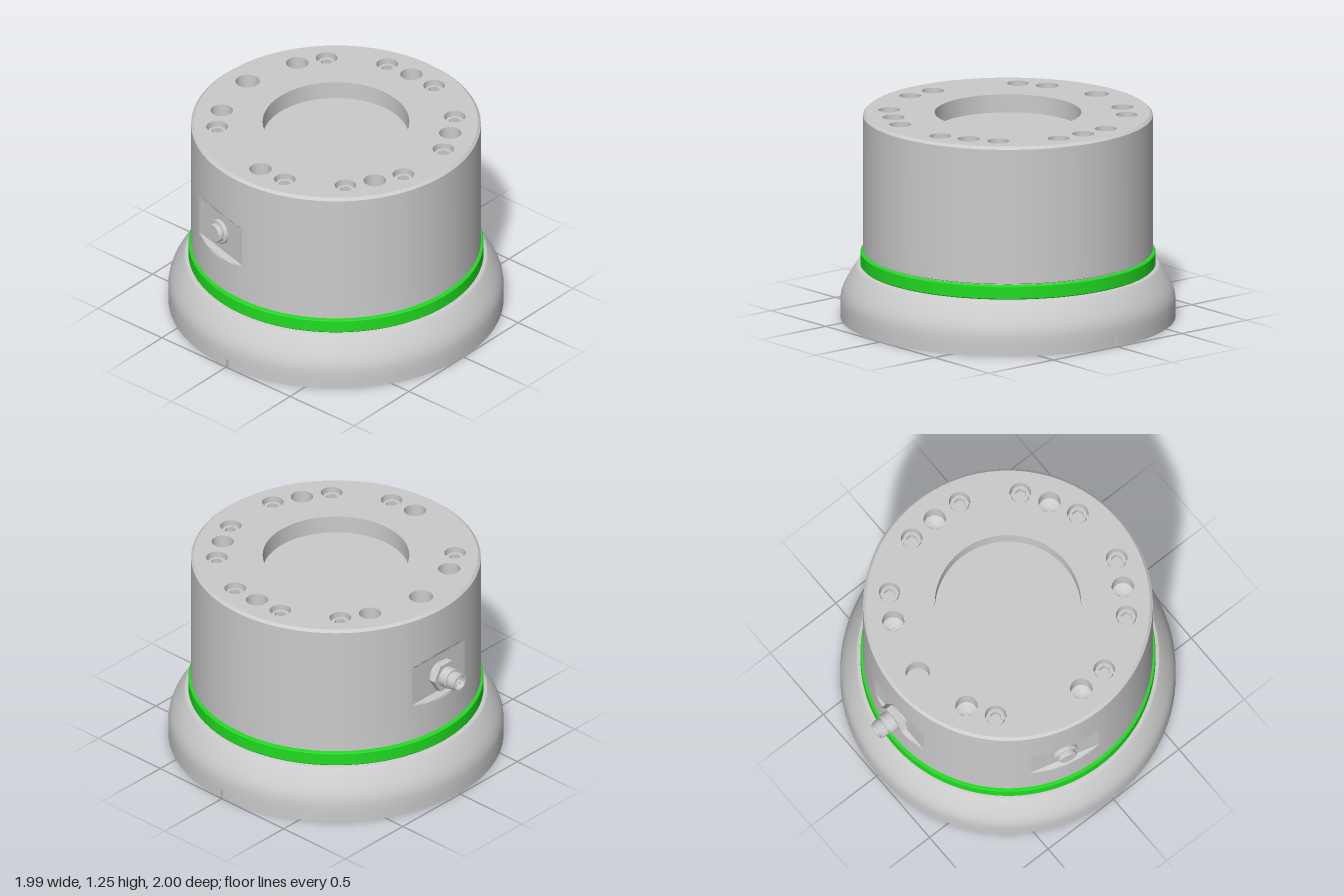
import * as THREE from 'three';
import { toCreasedNormals } from 'three/addons/utils/BufferGeometryUtils.js';

const grey = new THREE.MeshStandardMaterial({ color: 0xcccccc, side: THREE.DoubleSide });
const green = new THREE.MeshStandardMaterial({ color: 0x22dd22, side: THREE.DoubleSide });
const TOP = 1.245, R = 0.86, PORT_Y = 0.775;
const PORT_ANGLES = [0, THREE.MathUtils.degToRad(75)]; // measured from the back towards -x

function add(parent, name, geometry, material = grey, crease = 0.4) {
  const mesh = new THREE.Mesh(toCreasedNormals(geometry, crease), material);
  mesh.name = name;
  parent.add(mesh);
  return mesh;
}

const lathe = (points, segments = 128) =>
  new THREE.LatheGeometry(points.map(([r, y]) => new THREE.Vector2(r, y)), segments);

// Points of a circle or regular polygon
function ring(x, y, r, n) {
  return Array.from({ length: n }, (_, i) => {
    const a = (i / n) * Math.PI * 2;
    return new THREE.Vector2(x + r * Math.cos(a), y + r * Math.sin(a));
  });
}

// Cylinder wall with a shallow flat milled around each side port
function bodyWall() {
  const ys = [0.41];
  for (let y = 0.6; y < 0.955; y += 0.0125) ys.push(y);
  ys.push(1.23);
  const geo = lathe([[0.85, 0.395], [0.85, 0.405], ...ys.map(y => [R, y]), [0.843, TOP]], 256);
  const p = geo.attributes.position;
  for (let i = 0; i < p.count; i++) {
    const x = p.getX(i), y = p.getY(i), z = p.getZ(i);
    if (y < 0.5 || y > 1) continue;
    const plane = 0.83 + Math.max(0, Math.abs(y - PORT_Y) - 0.125);
    for (const angle of PORT_ANGLES) {
      const c = Math.cos(Math.atan2(-x, -z) - angle);
      if (c > 0.8 && plane / c < R) {
        const k = plane / c / R;
        p.setXYZ(i, x * k, y, z * k);
      }
    }
  }
  return geo;
}

function addBase(group) {
  const base = new THREE.Group();
  base.name = 'base';
  group.add(base);
  // Flared skirt with the stepped cavity underneath
  add(base, 'skirt', lathe([
    [0, 0.565], [0.63, 0.565], [0.63, 0.37], [0.65, 0.37], [0.65, 0.355],
    [0.727, 0.26], [0.727, 0.09], [0.967, 0.09], [0.967, 0.055], [0.995, 0.055],
    [0.995, 0.11], [0.99, 0.145], [0.978, 0.18], [0.962, 0.212],
    [0.905, 0.305], [0.897, 0.313], [0.885, 0.317], [0.85, 0.317],
  ]));
  // Foot rim in two halves, leaving a narrow slot on each side
  const gap = 0.01;
  for (const start of [0, Math.PI]) {
    const shape = new THREE.Shape();
    shape.absarc(0, 0, 0.995, start + gap, start + Math.PI - gap, false);
    shape.absarc(0, 0, 0.967, start + Math.PI - gap, start + gap, true);
    const geo = new THREE.ExtrudeGeometry(shape, { depth: 0.056, bevelEnabled: false, curveSegments: 64 });
    add(base, 'footRim', geo.rotateX(-Math.PI / 2));
  }
}

function addTopPlate(group) {
  // Positions are [x, z]
  const screws = [[-0.5, -0.5], [0.5, -0.5], [0.5, 0.5], [-0.5, 0.5], [0.682, -0.183],
    [0.682, 0.183], [-0.682, 0.183], [-0.183, 0.682], [0.183, 0.682]];
  const pins = [[-0.69, 0], [0.69, 0]];
  for (const sx of [-1, 1]) for (const sz of [-1, 1]) pins.push([sx * 0.345, sz * 0.597]);

  const plate = new THREE.Shape(ring(0, 0, 0.843, 256));
  const addHole = (name, x, z, r, profile, segments = 32) => {
    plate.holes.push(new THREE.Path(ring(x, -z, r, segments)));
    add(group, name, lathe([[r, TOP], ...profile], segments)).position.set(x, 0, z);
  };

  addHole('centreRecess', 0, 0, 0.435, [[0.435, 1.135], [0, 1.135]], 128);
  addHole('largeHole', 0, -0.69, 0.072, [[0.072, 1.13], [0, 1.13]]);
  for (const [x, z] of pins) {
    addHole('pinHole', x, z, 0.066, [[0.066, 1.13], [0.016, 1.1], [0, 1.1]]);
  }

  // Socket head screws sunk in counterbores
  const head = new THREE.Shape(ring(0, 0, 0.052, 32));
  head.holes.push(new THREE.Path(ring(0, 0, 0.037, 6)));
  const headGeo = new THREE.ExtrudeGeometry(head, { depth: 0.075, bevelEnabled: false })
    .rotateX(-Math.PI / 2).rotateY(Math.PI / 6);
  for (const [x, z] of screws) {
    addHole('counterbore', x, z, 0.064, [[0.064, 1.14], [0, 1.14]]);
    add(group, 'screwHead', headGeo).position.set(x, 1.14, z);
    add(group, 'screwSocketFloor', new THREE.CircleGeometry(0.04, 24).rotateX(-Math.PI / 2))
      .position.set(x, 1.175, z);
  }
  add(group, 'topPlate', new THREE.ShapeGeometry(plate).rotateX(-Math.PI / 2)).position.y = TOP;
}

// Ports are built upright, then laid so their axis points out of the wall
function addPort(group, name, angle) {
  const turn = new THREE.Group();
  turn.position.y = PORT_Y;
  turn.rotation.y = angle;
  turn.name = name;
  const axis = new THREE.Group();
  axis.rotation.x = -Math.PI / 2;
  turn.add(axis);
  group.add(turn);
  return axis;
}

function addConnector(group) {
  const port = addPort(group, 'connector', PORT_ANGLES[0]);
  add(port, 'connectorFlange', lathe([[0.075, 0.82], [0.075, 0.85], [0, 0.85]], 32));
  add(port, 'connectorNut', new THREE.CylinderGeometry(0.099, 0.099, 0.042, 6).rotateY(Math.PI / 6))
    .position.y = 0.87;
  add(port, 'connectorBarrel', lathe([
    [0.064, 0.885], [0.064, 0.935], [0.058, 0.943], [0.05, 0.943], [0.05, 0.957],
    [0.057, 0.96], [0.057, 0.99], [0.053, 0.992], [0.053, 1.005],
    [0.043, 1.005], [0.043, 0.93], [0, 0.93],
  ], 32));
  for (let i = 0; i < 4; i++) {
    const a = Math.PI / 4 + (i * Math.PI) / 2;
    add(port, 'connectorPin', new THREE.CylinderGeometry(0.007, 0.007, 0.06, 10))
      .position.set(0.022 * Math.cos(a), 0.96, 0.022 * Math.sin(a));
  }
}

function addPlug(group) {
  const port = addPort(group, 'sidePlug', PORT_ANGLES[1]);
  add(port, 'plugCollar', lathe([[0.078, 0.82], [0.078, 0.845], [0.07, 0.852], [0, 0.852]], 40));
  add(port, 'plugCap', lathe([[0.058, 0.85], [0.058, 0.874], [0.052, 0.88], [0, 0.88]], 40));
}

export function createModel() {
  const model = new THREE.Group();
  model.name = 'flangedHousing';
  const group = new THREE.Group();
  group.name = 'housing';
  group.position.z = 0.005;
  model.add(group);

  addBase(group);
  add(group, 'colourBand', lathe([
    [0.85, 0.317], [0.872, 0.317], [0.876, 0.322], [0.876, 0.395], [0.871, 0.401], [0.85, 0.401],
  ]), green);
  add(group, 'bodyWall', bodyWall(), grey, 0.2);
  addTopPlate(group);
  addConnector(group);
  addPlug(group);
  return model;
}
